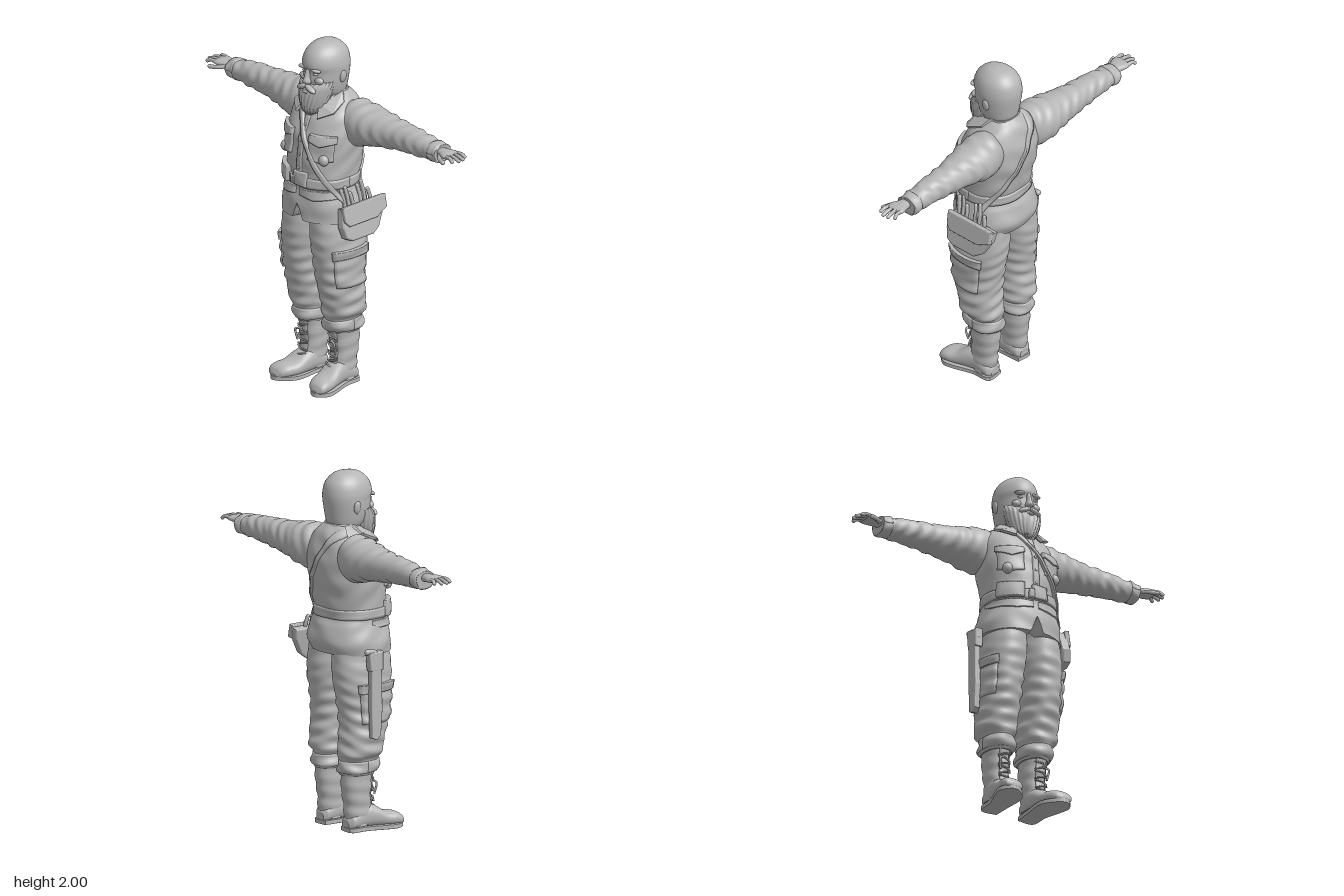
import * as THREE from 'three';
import { mergeVertices } from 'three/addons/utils/BufferGeometryUtils.js';
import { ConvexGeometry } from 'three/addons/geometries/ConvexGeometry.js';

const clay = new THREE.MeshStandardMaterial({ name: 'grey clay', color: 0xb6b6b6, side: THREE.DoubleSide });
const V = (x, y, z) => new THREE.Vector3(x, y, z);

function mesh(name, geometry) {
  const m = new THREE.Mesh(geometry, clay);
  m.name = name;
  return m;
}

// Skin through cross-sections [t, a0, a1, b0, b1] along an axis; at() gives a point on it.
function skin(rows, { axis = 'y', round = 0.88, taper = 0, fold = () => 0 } = {}) {
  const n = rows.length - 1;
  const slope = (i, k) => {
    const p = rows[Math.max(i - 1, 0)], q = rows[Math.min(i + 1, n)];
    return (q[k] - p[k]) / (q[0] - p[0]);
  };
  const section = (t) => {
    let i = 0;
    while (i < n - 1 && t > rows[i + 1][0]) i++;
    const p = rows[i], q = rows[i + 1], h = q[0] - p[0];
    const s = THREE.MathUtils.clamp((t - p[0]) / h, 0, 1), s2 = s * s, s3 = s2 * s;
    const v = [1, 2, 3, 4].map((k) => (2 * s3 - 3 * s2 + 1) * p[k] + (3 * s2 - 2 * s3) * q[k]
      + h * ((s3 - 2 * s2 + s) * slope(i, k) + (s3 - s2) * slope(i + 1, k)));
    return { ca: (v[0] + v[1]) / 2, ra: (v[1] - v[0]) / 2, cb: (v[2] + v[3]) / 2, rb: (v[3] - v[2]) / 2 };
  };
  const bend = (c, e) => Math.sign(c) * Math.abs(c) ** e;
  const at = (t, th, off = 0) => {
    const s = section(t), c = Math.cos(th), d = Math.sin(th), o = off + fold(t, th);
    const a = s.ca + s.ra * bend(c, round) * (1 - taper * Math.max(0, d)) + o * c;
    const b = s.cb + s.rb * bend(d, round) + o * d;
    return axis === 'y' ? V(a, t, b) : axis === 'x' ? V(t, b, a) : V(b, a, t);
  };
  const angle = (x, t) => {
    const s = section(t);
    return Math.acos(bend(THREE.MathUtils.clamp((x - s.ca) / s.ra, -1, 1), 1 / round));
  };
  return { rows, at, angle };
}

function surface(points, index) {
  const g = new THREE.BufferGeometry().setFromPoints(points);
  g.setIndex(index);
  g.computeVertexNormals();
  return g;
}

// Closed mesh over a skin, with optional rule applied to each point.
function loft(name, sk, { sides = 40, steps = 5, rule = (p) => p } = {}) {
  const ts = [], pts = [], idx = [];
  sk.rows.slice(0, -1).forEach((r, i) => {
    for (let k = 0; k < steps; k++) ts.push(r[0] + (sk.rows[i + 1][0] - r[0]) * k / steps);
  });
  ts.push(sk.rows[sk.rows.length - 1][0]);
  const ring = (t) => {
    for (let j = 0; j < sides; j++) pts.push(rule(sk.at(t, j / sides * Math.PI * 2)));
  };
  ts.forEach((t, i) => {
    ring(t);
    if (!i) return;
    for (let j = 0; j < sides; j++) {
      const c = i * sides + j, d = i * sides + (j + 1) % sides, a = c - sides, b = d - sides;
      idx.push(a, c, b, b, c, d);
    }
  });
  for (const top of [false, true]) {
    const base = pts.length;
    ring(top ? ts[ts.length - 1] : ts[0]);
    const centre = V(0, 0, 0);
    for (let j = 0; j < sides; j++) centre.addScaledVector(pts[base + j], 1 / sides);
    pts.push(centre);
    for (let j = 0; j < sides; j++) {
      const p = base + j, q = base + (j + 1) % sides;
      idx.push(base + sides, top ? q : p, top ? p : q);
    }
  }
  return mesh(name, surface(pts, idx));
}

// Raised patch lying on a skin; f(u, v) returns [t, angle].
function patch(name, sk, f, off = 0.008, nu = 14, nv = 10) {
  const pts = [], idx = [], u = (i, n) => THREE.MathUtils.clamp((i - 1) / (n - 2), 0, 1);
  for (let i = 0; i <= nu; i++) for (let j = 0; j <= nv; j++) {
    const rim = i === 0 || j === 0 || i === nu || j === nv;
    pts.push(sk.at(...f(u(i, nu), u(j, nv)), rim ? -0.006 : off));
    if (i < nu && j < nv) {
      const a = i * (nv + 1) + j, c = a + nv + 1;
      idx.push(a, c, a + 1, a + 1, c, c + 1);
    }
  }
  return mesh(name, surface(pts, idx));
}

function ball(name, x, y, z, sx, sy, sz, tilt = 0) {
  const g = new THREE.SphereGeometry(1, 20, 14).scale(sx, sy, sz).rotateZ(tilt).translate(x, y, z);
  return mesh(name, g);
}

function rod(name, points, r, flat = 1) {
  const g = new THREE.TubeGeometry(new THREE.CatmullRomCurve3(points), 10, r, 8);
  const group = new THREE.Group();
  group.name = name;
  group.add(mesh(name + 'Body', g));
  for (const p of [points[0], points[points.length - 1]]) group.add(ball(name + 'End', p.x, p.y, p.z, r, r * flat, r));
  return group;
}

// Outline in (z forward, y up), thickened along x.
function slab(name, outline, depth, bevel) {
  const shape = new THREE.Shape(outline.map(([z, y]) => new THREE.Vector2(-z, y)));
  return mesh(name, new THREE.ExtrudeGeometry(shape, { depth, bevelThickness: bevel, bevelSize: bevel, bevelSegments: 3 })
    .rotateY(Math.PI / 2));
}

function mirrored(object) {
  const copy = object.clone();
  copy.traverse((o) => {
    if (!o.isMesh) return;
    const g = o.geometry.index ? o.geometry.clone() : mergeVertices(o.geometry);
    g.scale(-1, 1, 1);
    g.index.array.reverse();
    o.geometry = g;
  });
  return copy;
}

function group(name, ...parts) {
  const g = new THREE.Group();
  g.name = name;
  g.add(...parts);
  return g;
}

function makeHead() {
  const skull = skin([[1.58, -0.085, 0.085, -0.13, 0.03], [1.68, -0.088, 0.088, -0.125, 0.05],
    [1.73, -0.105, 0.105, -0.14, 0.1], [1.79, -0.116, 0.116, -0.15, 0.118], [1.84, -0.12, 0.12, -0.157, 0.117],
    [1.88, -0.12, 0.12, -0.158, 0.127], [1.93, -0.108, 0.108, -0.147, 0.113], [1.965, -0.085, 0.085, -0.12, 0.085],
    [1.99, -0.05, 0.05, -0.08, 0.045], [2, -0.008, 0.008, -0.02, 0]], { round: 0.94, taper: 0.12 });
  const beard = skin([[1.59, -0.03, 0.03, 0.07, 0.12], [1.62, -0.06, 0.06, 0.04, 0.138], [1.67, -0.085, 0.085, 0.0, 0.147],
    [1.72, -0.1, 0.1, -0.02, 0.143], [1.76, -0.107, 0.107, -0.02, 0.128], [1.79, -0.108, 0.108, -0.02, 0.095]],
  { taper: 0.1, fold: (t, th) => 0.003 * Math.sin(th * 22 + t * 30) });
  const nose = skin([[1.772, -0.012, 0.012, 0.09, 0.128], [1.79, -0.022, 0.022, 0.09, 0.15],
    [1.82, -0.014, 0.014, 0.09, 0.143], [1.865, -0.012, 0.012, 0.09, 0.128]]);
  const face = group('leftFace',
    ball('ear', 0.118, 1.81, -0.035, 0.012, 0.036, 0.023, -0.12),
    ball('brow', 0.046, 1.862, 0.106, 0.036, 0.011, 0.02, -0.08),
    ball('eye', 0.042, 1.838, 0.101, 0.018, 0.009, 0.012),
    ball('cheek', 0.058, 1.8, 0.09, 0.03, 0.022, 0.022),
    ball('moustache', 0.032, 1.755, 0.13, 0.04, 0.015, 0.02, -0.4));
  return group('head', loft('skull', skull), loft('beard', beard, { sides: 88 }), loft('nose', nose, { sides: 16 }),
    ball('lowerLip', 0, 1.733, 0.138, 0.022, 0.008, 0.012), face, mirrored(face));
}

function makeArm() {
  const sleeve = skin([[0.1, -0.16, -0.01, 1.46, 1.64], [0.17, -0.2, 0.025, 1.42, 1.675], [0.25, -0.215, 0.03, 1.425, 1.67],
    [0.34, -0.208, 0.015, 1.45, 1.655], [0.5, -0.19, -0.02, 1.475, 1.637], [0.65, -0.177, -0.033, 1.487, 1.627],
    [0.78, -0.17, -0.045, 1.498, 1.607], [0.83, -0.165, -0.045, 1.503, 1.6]],
  { axis: 'x', round: 0.95, fold: (t, th) => 0.005 * Math.sin(t * 70 + 2 * Math.sin(th * 2 + 1)) * Math.sin(t * 13 + th) });
  const palm = skin([[0.8, -0.13, -0.075, 1.54, 1.585], [0.85, -0.135, -0.06, 1.543, 1.588],
    [0.9, -0.15, -0.04, 1.55, 1.588], [0.93, -0.145, -0.045, 1.555, 1.58]], { axis: 'x' });
  const arm = group('leftArm', loft('sleeve', sleeve, { steps: 12 }), loft('palm', palm, { sides: 24 }),
    patch('cuff', sleeve, (u, v) => [0.775 + 0.053 * u, v * Math.PI * 2], 0.005, 6, 36),
    rod('thumb', [V(0.85, 1.558, -0.065), V(0.885, 1.552, -0.035), V(0.925, 1.55, -0.02)], 0.012));
  [0.975, 0.993, 0.99, 0.97].forEach((tip, i) => {
    const z = -0.055 - i * 0.027, spread = (i - 1.5) * -0.006;
    arm.add(rod('finger', [V(0.91, 1.572, z), V(0.95, 1.573, z + spread / 2), V(tip - 0.005, 1.562, z + spread)], 0.0105));
  });
  return arm;
}

function makeLeg() {
  const trouser = skin([[0.32, 0.04, 0.195, -0.135, 0.07], [0.345, 0.032, 0.205, -0.142, 0.085], [0.4, 0.035, 0.205, -0.14, 0.09],
    [0.44, 0.025, 0.232, -0.15, 0.1], [0.51, 0.02, 0.24, -0.145, 0.112], [0.6, 0.018, 0.24, -0.14, 0.135],
    [0.7, 0.012, 0.235, -0.15, 0.155], [0.8, 0.001, 0.238, -0.165, 0.165], [0.9, -0.01, 0.235, -0.177, 0.175],
    [1.05, -0.01, 0.21, -0.17, 0.165]], {
    fold: (t, th) => 0.007 * Math.sin(t * 75 + 2.2 * Math.sin(th + 1)) * Math.sin(t * 9 + th * 2) * Math.min(1, (1.15 - t) * 2) });
  const shaft = skin([[0.03, 0.065, 0.175, -0.11, 0.04], [0.1, 0.06, 0.178, -0.112, 0.06], [0.16, 0.055, 0.18, -0.115, 0.04],
    [0.25, 0.05, 0.185, -0.128, 0.045], [0.37, 0.05, 0.188, -0.13, 0.055]],
  { fold: (t, th) => 0.003 * Math.sin(t * 80 + Math.sin(th)) });
  const foot = skin([[-0.112, 0.01, 0.07, 0.085, 0.15], [-0.09, 0.01, 0.1, 0.065, 0.175], [0, 0.01, 0.15, 0.057, 0.182],
    [0.06, 0.01, 0.135, 0.057, 0.195], [0.12, 0.01, 0.098, 0.065, 0.21], [0.18, 0.01, 0.088, 0.085, 0.22],
    [0.215, 0.012, 0.068, 0.11, 0.212], [0.229, 0.02, 0.04, 0.14, 0.185]], { axis: 'z' });
  const soleLine = [[0.075, -0.105], [0.165, -0.105], [0.175, 0], [0.213, 0.12], [0.218, 0.18], [0.17, 0.23],
    [0.115, 0.205], [0.065, 0.13], [0.07, 0]].map(([x, z]) => new THREE.Vector2(x, -z));
  const outline = new THREE.Shape(new THREE.SplineCurve([...soleLine, soleLine[0]]).getPoints(40));
  const sole = new THREE.ExtrudeGeometry(outline, { depth: 0.022, bevelSize: 0.005, bevelThickness: 0.002, bevelSegments: 1 })
    .rotateX(-Math.PI / 2).translate(0, 0.002, 0);
  const leg = group('leftLeg', loft('trouserLeg', trouser, { steps: 8, sides: 48 }), loft('bootShaft', shaft),
    loft('bootFoot', foot), mesh('sole', sole),
    patch('cargoPocket', trouser, (u, v) => [0.62 + 0.2 * u, -0.55 + 1.35 * v], 0.014),
    patch('cargoFlap', trouser, (u, v) => [0.79 + 0.05 * u, -0.6 + 1.45 * v], 0.02),
    patch('trouserCuff', trouser, (u, v) => [0.335 + 0.065 * u, v * Math.PI * 2], 0.006, 8, 40),
    patch('tongue', shaft, (u, v) => [0.13 + 0.2 * u, 1.2 + 0.74 * v], 0.008));
  // Crossed laces climbing the boot, and a loose bow
  for (let i = 0; i < 7; i++) {
    const y = 0.125 + i * 0.028, z = i < 2 ? 0.07 - i * 0.012 : 0.056, s = i % 2 ? 1 : -1;
    leg.add(rod('lace', [V(0.118 - 0.035, y - 0.008 * s, z - 0.006), V(0.118, y, z + 0.008), V(0.118 + 0.035, y + 0.008 * s, z - 0.006)], 0.005));
  }
  leg.add(rod('bow', [V(0.12, 0.27, 0.06), V(0.155, 0.26, 0.07), V(0.15, 0.2, 0.06)], 0.006));
  leg.position.x = 0.005;
  return leg;
}

function makeJacket() {
  const coat = skin([[1, -0.23, 0.24, -0.19, 0.203], [1.07, -0.233, 0.237, -0.215, 0.203], [1.15, -0.21, 0.218, -0.195, 0.195],
    [1.2, -0.198, 0.206, -0.175, 0.188], [1.3, -0.203, 0.208, -0.19, 0.187], [1.4, -0.215, 0.217, -0.21, 0.178],
    [1.48, -0.22, 0.22, -0.22, 0.165], [1.56, -0.217, 0.217, -0.213, 0.13], [1.62, -0.19, 0.19, -0.198, 0.09],
    [1.67, -0.135, 0.135, -0.175, 0.045], [1.71, -0.09, 0.09, -0.14, 0.02]],
  { fold: (t, th) => 0.004 * Math.sin(t * 42 + 3 * Math.sin(th * 2)) * Math.sin(th * 3 + t * 8) });
  const notch = (p) => (p.z > 0.1 && p.y < 1.12 ? p.setY(Math.max(p.y, 1.1 - 2.5 * Math.abs(p.x - 0.005))) : p);
  const onFront = (x, y, w, h, point = 0) => (u, v) => {
    const px = x + (v - 0.5) * w, py = y + (u - 0.5) * h - point * (1 - u) * (1 - Math.abs(2 * v - 1));
    return [py, coat.angle(px, py)];
  };
  // The strap runs from the right shoulder to the left hip on both faces
  const strap = (side) => (u, v) => {
    const y = 1.685 - 0.55 * u;
    return [y + (v - 0.5) * 0.045, side * coat.angle(-0.11 + 0.325 * u ** 0.9, y)];
  };
  const jacket = group('jacket', loft('coat', coat, { sides: 96, steps: 6, rule: notch }),
    patch('belt', coat, (u, v) => [1.195 + 0.055 * u, v * Math.PI * 2], 0.009, 6, 64),
    patch('placket', coat, onFront(0.005, 1.41, 0.035, 0.36), 0.007, 24, 5),
    patch('strapFront', coat, strap(1), 0.016, 40, 5), patch('strapBack', coat, strap(-1), 0.012, 40, 5),
    patch('beltPouch', coat, onFront(-0.125, 1.24, 0.11, 0.085), 0.026),
    patch('beltPouchSmall', coat, onFront(0.02, 1.24, 0.09, 0.08), 0.018),
    patch('buckle', coat, onFront(-0.03, 1.225, 0.03, 0.05), 0.022, 6, 6));
  for (const x of [-0.125, 0.125]) {
    jacket.add(patch('chestPocket', coat, onFront(x, 1.425, 0.12, 0.12, 0.01), 0.012),
      patch('pocketFlap', coat, onFront(x, 1.49, 0.13, 0.035, 0.025), 0.02),
      ball('pocketBulge', x * 1.2, 1.37, 0.142, 0.03, 0.032, 0.028),
      patch('waistFlap', coat, onFront(x * 0.9, 1.165, 0.19, 0.04, 0.015), 0.009));
  }
  for (const y of [1.3, 1.38, 1.46, 1.54]) jacket.add(ball('button', 0.005, y, coat.at(y, Math.PI / 2, 0.008).z, 0.009, 0.009, 0.005));
  // Collar band and its two pointed wings
  const band = skin([[1.64, -0.115, 0.115, -0.165, 0.075], [1.68, -0.104, 0.104, -0.15, 0.055], [1.715, -0.095, 0.095, -0.14, 0.03]]);
  const wing = [V(0.1, 1.715, -0.05), V(0.055, 1.665, 0.085), V(0.085, 1.595, 0.133), V(0.155, 1.63, 0.075), V(0.14, 1.67, -0.02)];
  const collar = mesh('collarWing', new ConvexGeometry([...wing, ...wing.map((p) => p.clone().add(V(-0.006, -0.008, -0.012)))]));
  jacket.add(loft('collarBand', band), collar, mirrored(collar));
  return jacket;
}

function makeBag() {
  const bag = group('shoulderBag',
    slab('bagBody', [[0.085, 1.09], [0.1, 1], [0.085, 0.94], [0.05, 0.922], [-0.1, 0.922], [-0.14, 0.95], [-0.19, 1.04], [-0.2, 1.09]], 0.03, 0.012),
    slab('bagFlap', [[0.1, 1.105], [0.095, 1.03], [0.07, 1.005], [-0.13, 1.005], [-0.175, 1.03], [-0.205, 1.04], [-0.205, 1.105]], 0.018, 0.006));
  bag.children[1].position.x = 0.032;
  // Tools standing in the bag
  for (const [z, top] of [[0.06, 1.2], [0.03, 1.21], [0, 1.17], [-0.06, 1.2], [-0.09, 1.215], [-0.13, 1.16]]) {
    bag.add(rod('tool', [V(0.015, 1.08, z), V(0.015, (1.08 + top) / 2, z), V(0.015, top, z + 0.01)], 0.011));
  }
  // Lean the bag outward toward its base
  bag.rotation.z = 0.2;
  bag.position.set(0.436, 0.01, 0);
  return bag;
}

function makeSheath() {
  const sheath = group('sheath',
    slab('blade', [[0.025, 0.96], [0.03, 0.7], [0.02, 0.56], [0, 0.54], [-0.025, 0.55], [-0.03, 0.7], [-0.03, 0.96]], 0.022, 0.007),
    slab('hanger', [[0.035, 1.02], [0.035, 0.93], [-0.035, 0.93], [-0.045, 1.02]], 0.03, 0.008),
    rod('handle', [V(0.012, 0.98, 0.03), V(0.012, 1.02, 0), V(0.012, 1.03, -0.055)], 0.016),
    rod('sheathBand', [V(0.026, 0.8, -0.03), V(0.028, 0.8, 0), V(0.026, 0.8, 0.03)], 0.007));
  sheath.position.set(-0.273, 0, -0.02);
  return sheath;
}

export function createModel() {
  const arm = makeArm(), leg = makeLeg();
  const rightArm = mirrored(arm), rightLeg = mirrored(leg);
  rightArm.name = 'rightArm';
  rightLeg.name = 'rightLeg';
  return group('beardedFigure', makeHead(), makeJacket(), arm, rightArm, leg, rightLeg, makeBag(), makeSheath());
}
